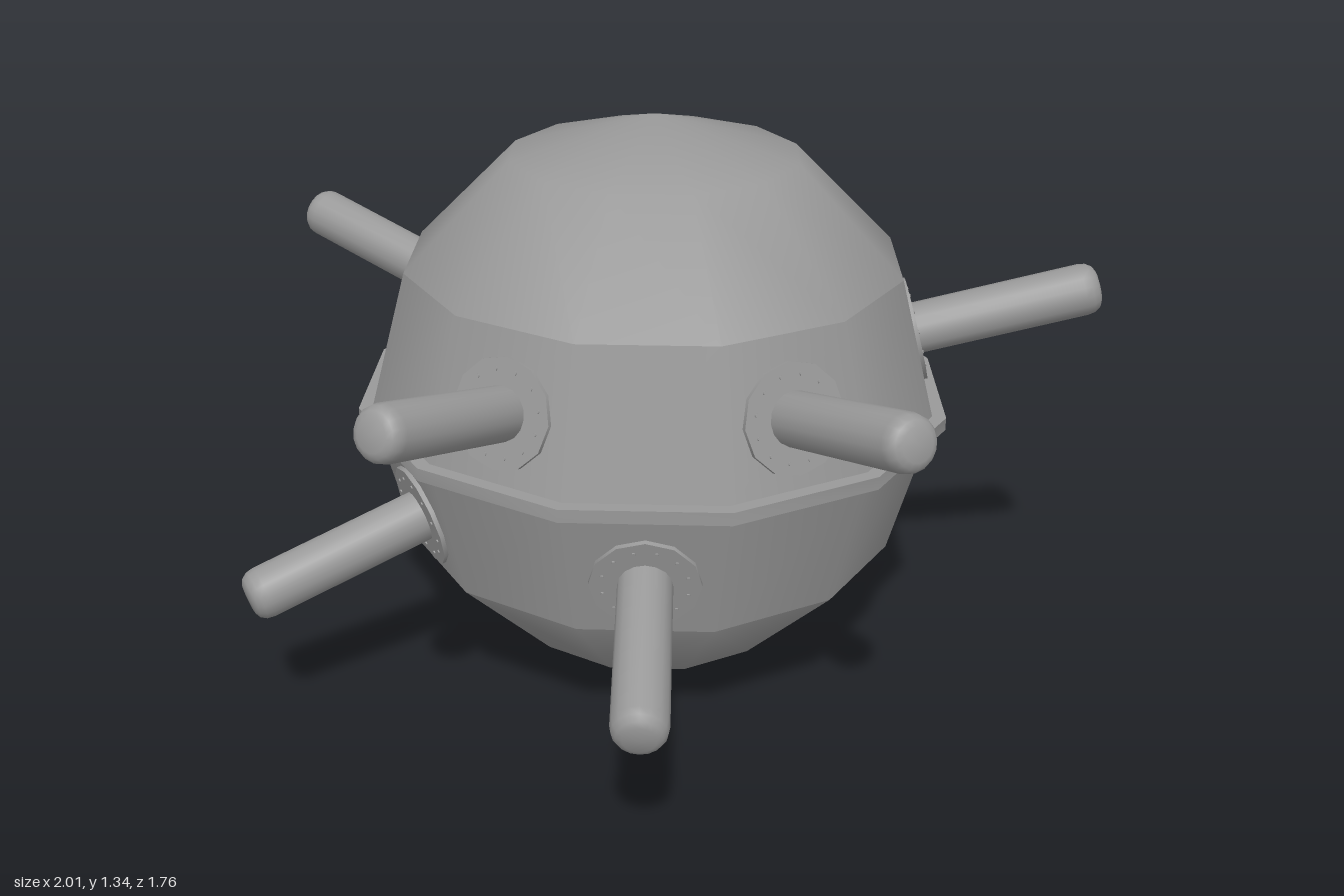
import * as THREE from 'three';
import { toCreasedNormals } from 'three/addons/utils/BufferGeometryUtils.js';

const material = new THREE.MeshStandardMaterial({ color: 0x999999 });
const RADIUS = 0.669;
const SIDES = 12;
const rad = THREE.MathUtils.degToRad;

function part(name, geometry, parent) {
  const mesh = new THREE.Mesh(geometry, material);
  mesh.name = name;
  parent.add(mesh);
  return mesh;
}

function lathe(points, sides, crease) {
  const profile = points.map(([r, y]) => new THREE.Vector2(r, y));
  return toCreasedNormals(new THREE.LatheGeometry(profile, sides), rad(crease));
}

// A rod with a rounded tip on a thin riveted collar; local +y points outward.
// The drop slides the horn down along the slope of its panel.
function createHorn(azimuth, elevation, drop) {
  const horn = new THREE.Group();
  horn.name = 'horn';
  horn.rotation.set(0, -rad(azimuth), rad(elevation - 90));
  horn.position.set(drop, 0, 0).applyEuler(horn.rotation);

  part('rod', lathe([
    [0.06, 0.58], [0.06, 1.025], [0.057, 1.042], [0.048, 1.055], [0.035, 1.061], [0, 1.063],
  ], 16, 50), horn);

  part('collar', lathe([
    [0.122, 0.61], [0.122, 0.636], [0.055, 0.636],
  ], SIDES, 35), horn);

  const rivet = new THREE.CylinderGeometry(0.004, 0.005, 0.006, 6);
  for (let i = 0; i < 12; i++) {
    const a = rad(i * 30 + 15);
    part('rivet', rivet, horn).position.set(0.095 * Math.cos(a), 0.636, 0.095 * Math.sin(a));
  }
  return horn;
}

export function createModel() {
  const model = new THREE.Group();
  model.name = 'navalMine';
  const body = new THREE.Group();
  body.name = 'body';
  body.position.set(0, 0.673, -0.125);
  model.add(body);

  // Shell: two smooth caps and two sloping bands meeting at the equator
  const ringRadius = RADIUS * Math.cos(rad(30));
  const ringHeight = RADIUS / 2;
  for (const side of [1, -1]) {
    const start = side > 0 ? 0 : rad(120);
    part(side > 0 ? 'upperCap' : 'lowerCap',
      new THREE.SphereGeometry(RADIUS, SIDES, 2, 0, Math.PI * 2, start, rad(60)), body);
    const [top, bottom] = side > 0 ? [ringRadius, RADIUS] : [RADIUS, ringRadius];
    part(side > 0 ? 'upperBand' : 'lowerBand',
      new THREE.CylinderGeometry(top, bottom, ringHeight, SIDES, 1, true), body)
      .position.y = side * ringHeight / 2;
  }

  // Seam flange around the equator
  part('seamFlange', lathe([
    [0.64, -0.015], [0.697, -0.015], [0.697, 0.015], [0.64, 0.015],
  ], SIDES, 35), body);

  // Contact horns, centred on the upper panels and slightly lower on the lower ones
  for (const azimuth of [15, 75, 165, 225, 315]) body.add(createHorn(azimuth, 15, 0));
  for (const azimuth of [45, 105, 195]) body.add(createHorn(azimuth, -15, 0.034));

  return model;
}
